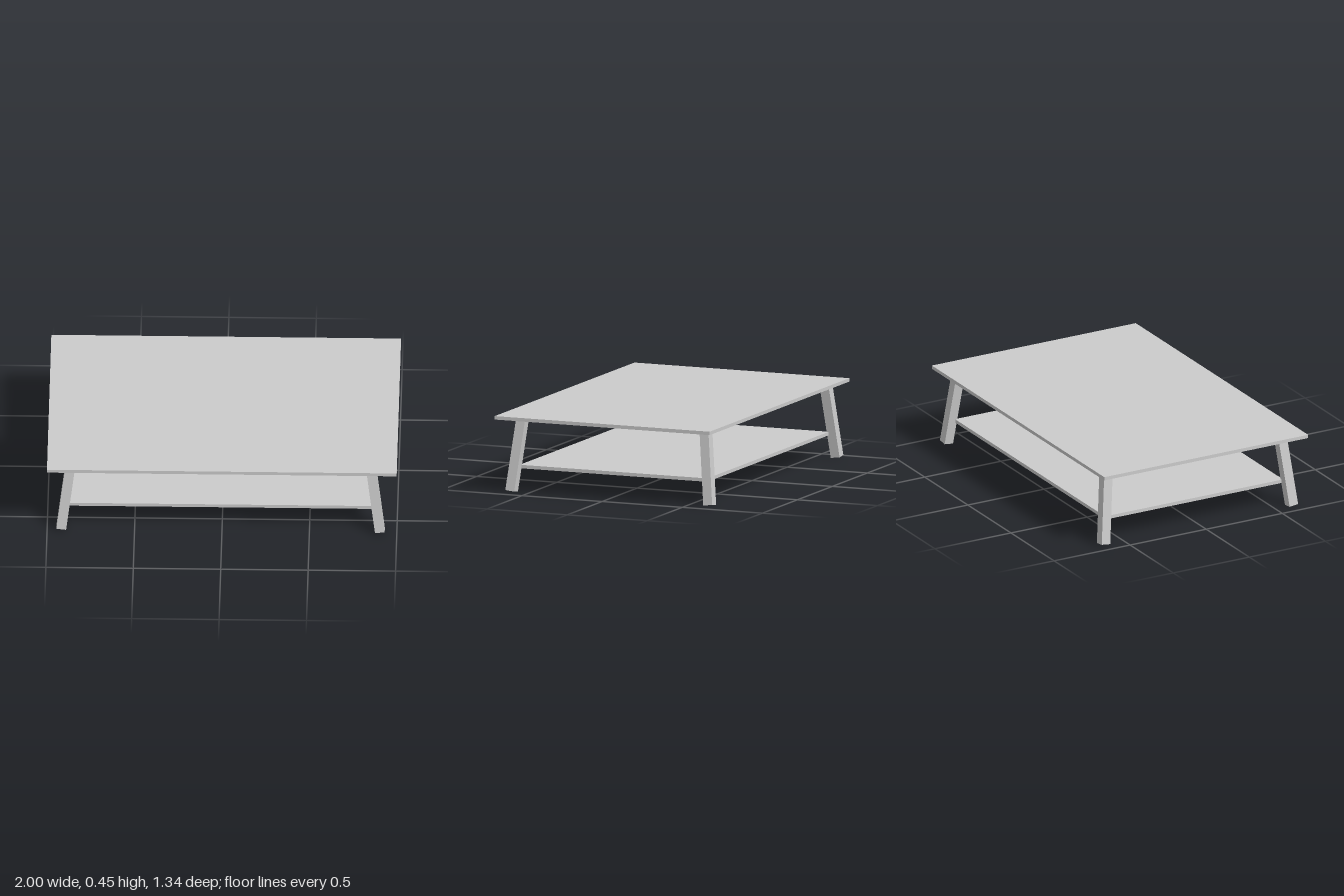
import * as THREE from 'three';

export function createModel() {
  const group = new THREE.Group();
  const material = new THREE.MeshStandardMaterial({ color: 0xcccccc, flatShading: true });

  function addBox(name, size, position) {
    const mesh = new THREE.Mesh(new THREE.BoxGeometry(...size), material);
    mesh.name = name;
    mesh.position.set(...position);
    group.add(mesh);
    return mesh;
  }

  // Table top, and the shelf whose corners sink into the legs
  addBox('tableTop', [2, 0.02, 1.34], [0, 0.44, 0]);
  addBox('shelf', [1.742, 0.02, 1.17], [-0.008, 0.143, -0.011]);

  // Four square legs splayed outward, their set slightly off centre
  for (const sx of [-1, 1]) {
    for (const sz of [-1, 1]) {
      const name = (sz > 0 ? 'front' : 'back') + (sx > 0 ? 'Left' : 'Right') + 'Leg';
      const leg = addBox(name, [0.056, 0.437, 0.056], [-0.008 + sx * 0.884, 0.222, -0.011 + sz * 0.594]);
      leg.rotation.set(-sz * 0.11, 0, sx * 0.124);
    }
  }

  return group;
}
